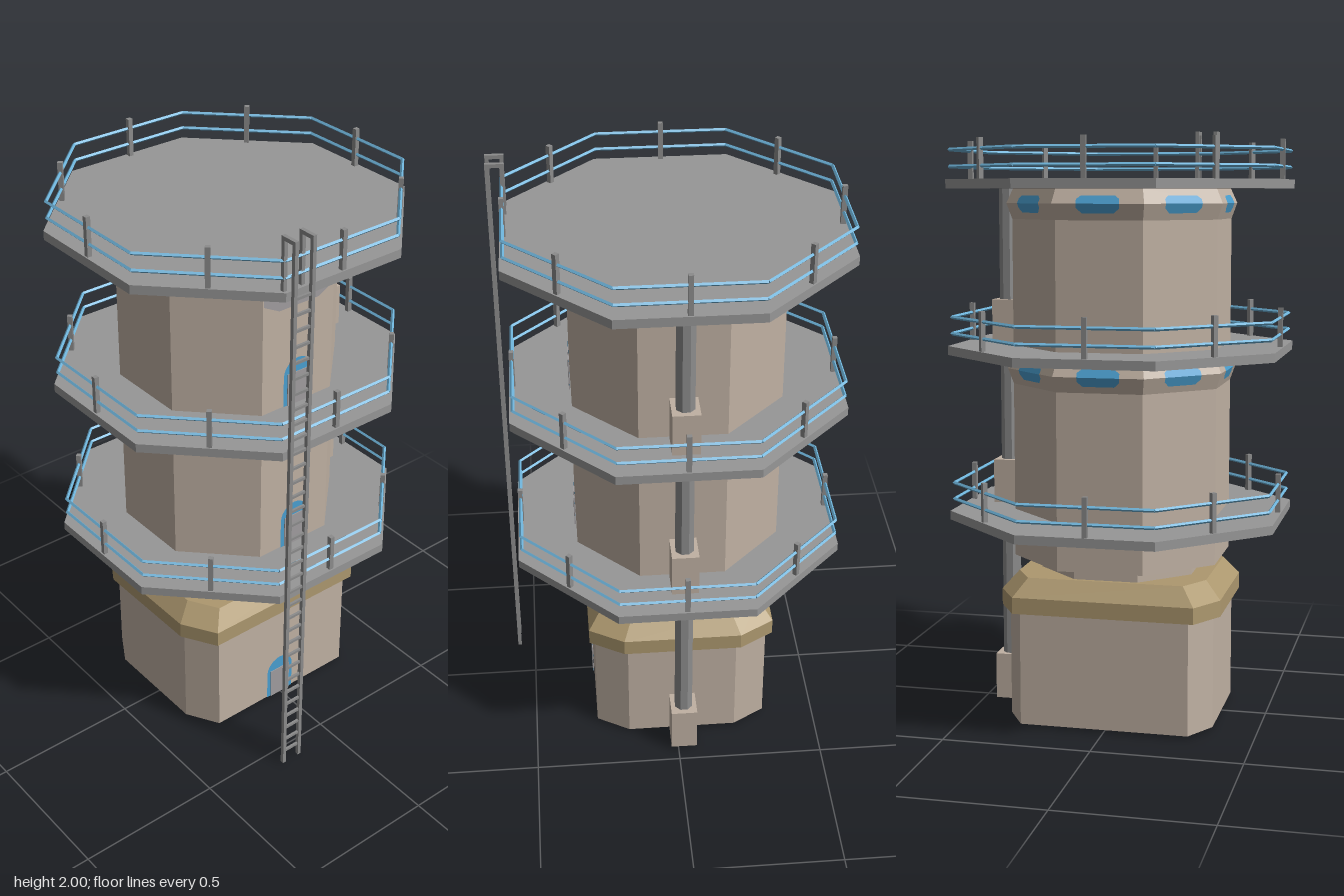
import * as THREE from 'three';

const mat = (name, color, opts = {}) => {
  const m = new THREE.MeshStandardMaterial({ color, flatShading: true, ...opts });
  m.name = name;
  return m;
};
const M = {
  wall: mat('wall beige', 0xc0b1a3),
  shell: mat('base wall beige', 0xc0b1a3, { side: THREE.DoubleSide }),
  trim: mat('trim tan', 0xad986f, { side: THREE.DoubleSide }),
  deck: mat('deck grey', 0x979797),
  metal: mat('metal grey', 0x8c8c8c),
  rail: mat('rail blue', 0x6db2d8),
  glass: mat('glass blue', 0x4a9fd0),
  plate: mat('plate grey', 0xa09d9f),
};
const CX = -0.02;              // tower axis
const K = Math.cos(Math.PI / 8);

function add(parent, name, geo, material, x = 0, y = 0, z = 0) {
  const m = new THREE.Mesh(geo, material);
  m.name = name;
  m.position.set(x, y, z);
  parent.add(m);
  return m;
}
const box = (p, name, w, h, d, material, x, y, z) =>
  add(p, name, new THREE.BoxGeometry(w, h, d), material, x, y, z);

// Regular octagonal solid from [apothem, y] pairs, listed from the bottom up
const octagon = (profile) => new THREE.LatheGeometry(
  profile.map(([a, y]) => new THREE.Vector2(a / K, y)), 8, Math.PI / 8);

// Chamfered rectangle walls from [halfX, halfZ, y] sections
function loft(sections) {
  const fx = 0.63, fz = 0.815, pos = [], index = [];
  const ring = [[1, fz], [1, -fz], [fx, -1], [-fx, -1], [-1, -fz], [-1, fz], [-fx, 1], [fx, 1]];
  for (const [hx, hz, y] of sections) for (const [x, z] of ring) pos.push(x * hx, y, z * hz);
  for (let s = 0; s < sections.length - 1; s++) for (let i = 0; i < 8; i++) {
    const a = s * 8 + i, b = s * 8 + (i + 1) % 8;
    index.push(a, b, b + 8, a, b + 8, a + 8);
  }
  const g = new THREE.BufferGeometry();
  g.setAttribute('position', new THREE.Float32BufferAttribute(pos, 3));
  g.setIndex(index);
  g.computeVertexNormals();
  return g;
}

const polygon = (pts) => new THREE.ShapeGeometry(
  new THREE.Shape(pts.map(([x, y]) => new THREE.Vector2(x, y))));

function arch(hw, straight) {
  const s = new THREE.Shape();
  s.moveTo(-hw, 0);
  s.lineTo(hw, 0);
  s.lineTo(hw, straight);
  s.absarc(0, straight, hw, 0, Math.PI, false);
  return new THREE.ShapeGeometry(s, 6);
}

// Arched door on the +x face
function addDoor(g, x, y, z) {
  const door = new THREE.Group();
  door.name = 'door';
  door.position.set(x, y, z);
  door.rotation.y = Math.PI / 2;
  add(door, 'doorFrame', arch(0.057, 0.108), M.glass, 0, 0, 0.003);
  box(door, 'doorLeaf', 0.084, 0.115, 0.004, M.plate, 0, 0.0575, 0.004);
  g.add(door);
}

// Storey with a flared head, windows on all eight faces
function addStorey(g, bottom, top) {
  const storey = new THREE.Group();
  storey.name = 'storey';
  storey.position.x = CX;
  add(storey, 'storeyWall', octagon([[0, bottom], [0.345, bottom], [0.345, top - 0.1],
    [0.363, top - 0.048], [0.342, top]]), M.wall);
  for (let i = 0; i < 8; i++) {
    const side = new THREE.Group();
    side.name = 'window';
    side.rotation.y = i * Math.PI / 4;
    const low = add(side, 'windowLower',
      polygon([[-0.052, -0.032], [0.052, -0.032], [0.07, -0.015], [0.07, 0], [-0.07, 0], [-0.07, -0.015]]),
      M.glass, 0, top - 0.048, 0.366);
    low.rotation.x = Math.atan2(0.018, 0.052);
    const up = add(side, 'windowUpper',
      polygon([[-0.07, 0], [0.07, 0], [0.07, 0.016], [0.055, 0.028], [-0.055, 0.028], [-0.07, 0.016]]),
      M.glass, 0, top - 0.048, 0.366);
    up.rotation.x = -Math.atan2(0.021, 0.048);
    storey.add(side);
  }
  // Grey plate on the ladder side
  const panel = add(storey, 'wallPanel',
    polygon([[-0.08, -0.028], [0.08, -0.028], [0.142, 0.005], [0.142, 0.028], [-0.142, 0.028], [-0.142, 0.005]]),
    M.plate, 0.348, top - 0.137, 0);
  panel.rotation.y = Math.PI / 2;
  g.add(storey);
}

// Octagonal deck with posts and two rails
function addDeck(g, y) {
  const deck = new THREE.Group();
  deck.name = 'deck';
  deck.position.set(CX, y, 0);
  add(deck, 'deckSlab', octagon([[0, 0], [0.548, 0], [0.548, 0.03], [0, 0.03]]), M.deck);
  const a = 0.535, len = 2 * a * Math.tan(Math.PI / 8);
  for (let i = 0; i < 8; i++) {
    const side = new THREE.Group();
    side.name = 'railing';
    side.rotation.y = i * Math.PI / 4;
    box(side, 'railPost', 0.016, 0.13, 0.016, M.metal, 0, 0.095, a);
    for (const h of [0.071, 0.126]) {
      const bar = add(side, 'railBar', new THREE.CylinderGeometry(0.006, 0.006, len, 4), M.rail, 0, h, a);
      bar.rotation.z = Math.PI / 2;
    }
    deck.add(side);
  }
  g.add(deck);
}

export function createModel() {
  const g = new THREE.Group();
  g.name = 'tower';

  // Base, trim and neck
  add(g, 'baseWall', loft([[0.3, 0.35, 0.01], [0.3, 0.35, 0.4]]), M.shell, CX);
  add(g, 'baseTrim', loft([[0.298, 0.348, 0.395], [0.32, 0.375, 0.395], [0.32, 0.375, 0.45],
    [0.275, 0.322, 0.51], [0, 0, 0.51]]), M.trim, CX);
  add(g, 'neck', octagon([[0.26, 0.505], [0.26, 0.56]]), M.wall, CX);

  addStorey(g, 0.555, 1.245);
  addStorey(g, 1.26, 1.795);
  for (const y of [0.685, 1.245, 1.795]) addDeck(g, y);

  addDoor(g, 0.28, 0.01, 0.01);
  addDoor(g, 0.325, 0.715, 0);
  addDoor(g, 0.325, 1.275, 0);

  // Rear pipe rising from a box on each level
  for (const [y0, y1, y2] of [[0.01, 0.17, 0.685], [0.715, 0.865, 1.245], [1.275, 1.42, 1.795]]) {
    box(g, 'pipeBox', 0.09, y1 - y0, 0.105, M.wall, CX, (y0 + y1) / 2, -0.3975);
    const pipe = add(g, 'pipe', new THREE.CylinderGeometry(0.032, 0.032, y2 - y1, 8), M.metal,
      CX, (y1 + y2) / 2, -0.402);
    pipe.rotation.y = Math.PI / 8;
  }

  // Ladder with hooked tops
  const ladder = new THREE.Group();
  ladder.name = 'ladder';
  for (const z of [0.155, 0.222]) {
    box(ladder, 'ladderRail', 0.013, 2, 0.013, M.metal, 0.558, 1, z);
    box(ladder, 'ladderHookTop', 0.06, 0.013, 0.013, M.metal, 0.534, 1.9935, z);
    box(ladder, 'ladderHookLeg', 0.013, 0.175, 0.013, M.metal, 0.511, 1.9125, z);
  }
  for (let i = 0; i < 34; i++)
    box(ladder, 'ladderRung', 0.008, 0.009, 0.067, M.metal, 0.558, 0.05 + i * 0.0535, 0.1885);
  g.add(ladder);
  return g;
}
